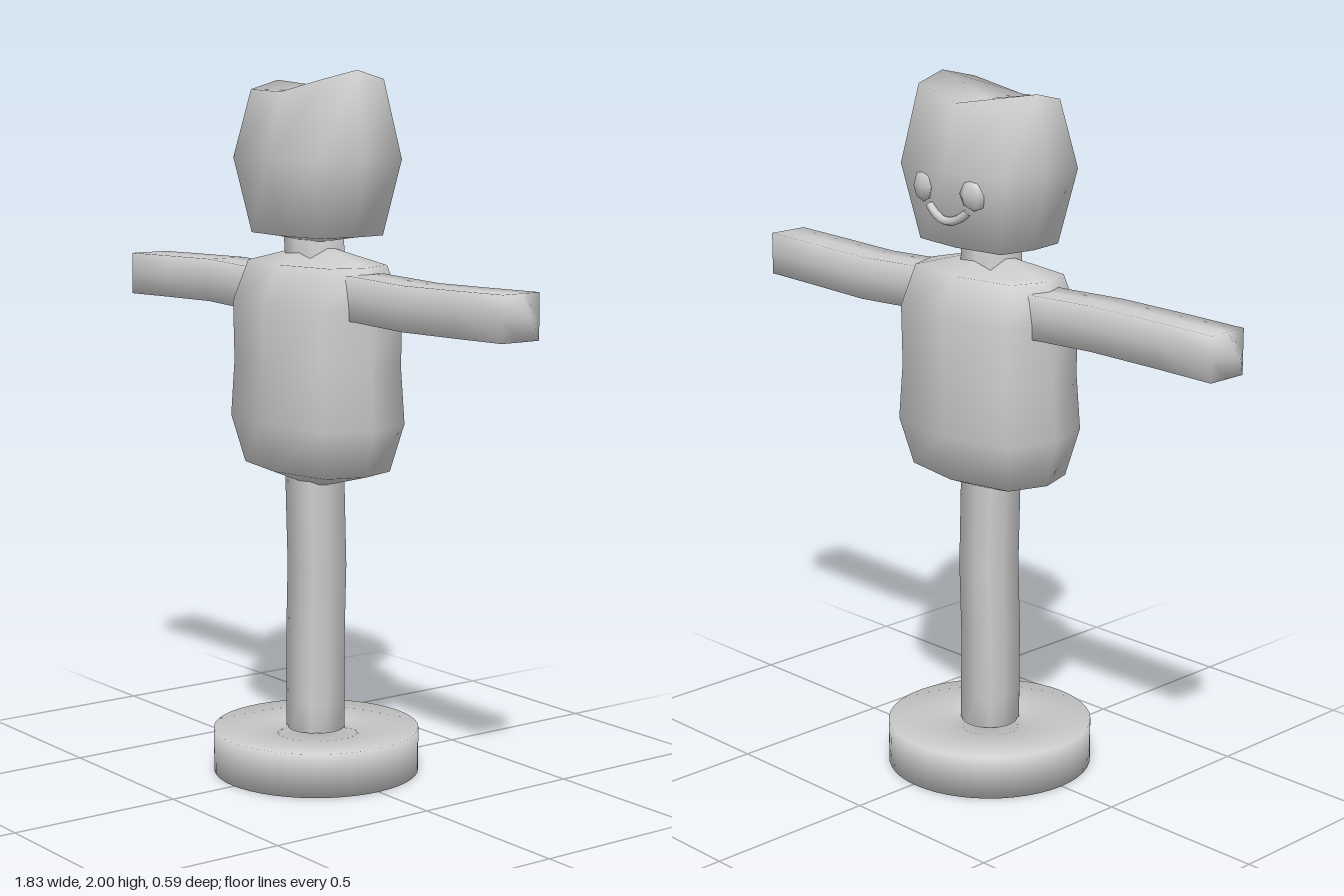
import * as THREE from 'three';
import { mergeVertices } from 'three/addons/utils/BufferGeometryUtils.js';

const material = new THREE.MeshStandardMaterial({ color: 0xcccccc });

function addMesh(parent, name, geometry) {
  const mesh = new THREE.Mesh(geometry, material);
  mesh.name = name;
  parent.add(mesh);
  return mesh;
}

// Soft box: a 2 x n x 2 grid whose points are placed by rule(i, j, k),
// with i and k in -1..1 and j in 0..n, shaded smoothly across its edges
function softBox(n, rule) {
  let g = new THREE.BoxGeometry(2, 2, 2, 2, n, 2);
  g.deleteAttribute('uv');
  g.deleteAttribute('normal');
  g = mergeVertices(g, 1e-4);
  const p = g.attributes.position;
  for (let v = 0; v < p.count; v++) {
    const i = Math.round(p.getX(v));
    const j = Math.round(((p.getY(v) + 1) / 2) * n);
    const k = Math.round(p.getZ(v));
    p.setXYZ(v, ...rule(i, j, k));
  }
  g.computeVertexNormals();
  return g;
}

// Square, slightly uneven timber with pointed ends, running along y
function beam(length, half, n, phase) {
  return softBox(n, (i, j, k) => {
    const end = j === 0 ? -1 : j === n ? 1 : 0;
    const corner = i !== 0 || k !== 0;
    const y = (j / n - 0.5) * length - (corner ? end * 0.045 : 0);
    const wobble = 0.005 * Math.sin(j * 2.1 + phase);
    return [i * half + wobble, y, k * half + 0.004 * Math.sin(j * 1.7 + phase)];
  });
}

export function createModel() {
  const model = new THREE.Group();
  model.name = 'scarecrow';

  // Round stand with a socket for the pole
  const rim = [[0.08, 0], [0.295, 0], [0.295, 0.125], [0.08, 0.125], [0.08, 0]];
  const ring = new THREE.LatheGeometry(rim.map(([r, y]) => new THREE.Vector2(r, y)), 48);
  addMesh(model, 'base', ring).position.x = -0.01;

  // Pole and cross beam
  addMesh(model, 'pole', beam(1.6, 0.06, 8, 0.5)).position.set(-0.012, 0.802, 0);
  const arms = addMesh(model, 'crossBeam', beam(1.83, 0.062, 8, 1));
  arms.rotation.z = Math.PI / 2;
  arms.position.set(-0.003, 1.38, 0);

  // Torso: five rings from hem to shoulders, with domed ends
  const ringY = [0.885, 1.02, 1.18, 1.35, 1.465];
  const halfX = [0.232, 0.265, 0.25, 0.25, 0.23];
  const halfZ = [0.15, 0.19, 0.185, 0.19, 0.135];
  addMesh(model, 'torso', softBox(4, (i, j, k) => {
    const diagonal = i !== 0 && k !== 0;
    const middle = i === 0 && k === 0;
    const y = middle ? (j === 0 ? 0.825 : 1.52) : ringY[j];
    return [-0.007 + i * halfX[j] * (diagonal ? 0.83 : 1), y, k * halfZ[j] * (diagonal ? 0.75 : 1)];
  }));

  // Head: three rings, with the top pulled up into two ears
  const headX = [0.177, 0.222, 0.185];
  const headZ = [0.13, 0.17, 0.125];
  const head = new THREE.Group();
  head.name = 'head';
  model.add(head);
  addMesh(head, 'skull', softBox(2, (i, j, k) => {
    const diagonal = i !== 0 && k !== 0;
    let y = [1.545, 1.755, 1.94][j];
    if (j === 0 && i === 0 && k === 0) y = 1.52;
    if (j === 2 && i !== 0) y = (k === 0 ? 1.985 : 1.96) + (i > 0 ? 0.015 : -0.015);
    return [-0.007 + i * headX[j] * (diagonal ? 0.9 : 1), y, k * headZ[j] * (diagonal ? 0.85 : 1)];
  }));

  // Button eyes on the back side
  for (const side of [-1, 1]) {
    const eye = addMesh(head, side > 0 ? 'leftEye' : 'rightEye', new THREE.SphereGeometry(0.045, 6, 4));
    eye.scale.z = 0.5;
    eye.rotation.y = -side * 0.3;
    eye.position.set(side * 0.1, 1.705, -0.146);
  }

  // Smile
  const smile = new THREE.QuadraticBezierCurve3(
    new THREE.Vector3(-0.075, 1.655, -0.145),
    new THREE.Vector3(0, 1.585, -0.16),
    new THREE.Vector3(0.075, 1.655, -0.145));
  addMesh(head, 'mouth', new THREE.TubeGeometry(smile, 12, 0.012, 8));

  return model;
}
